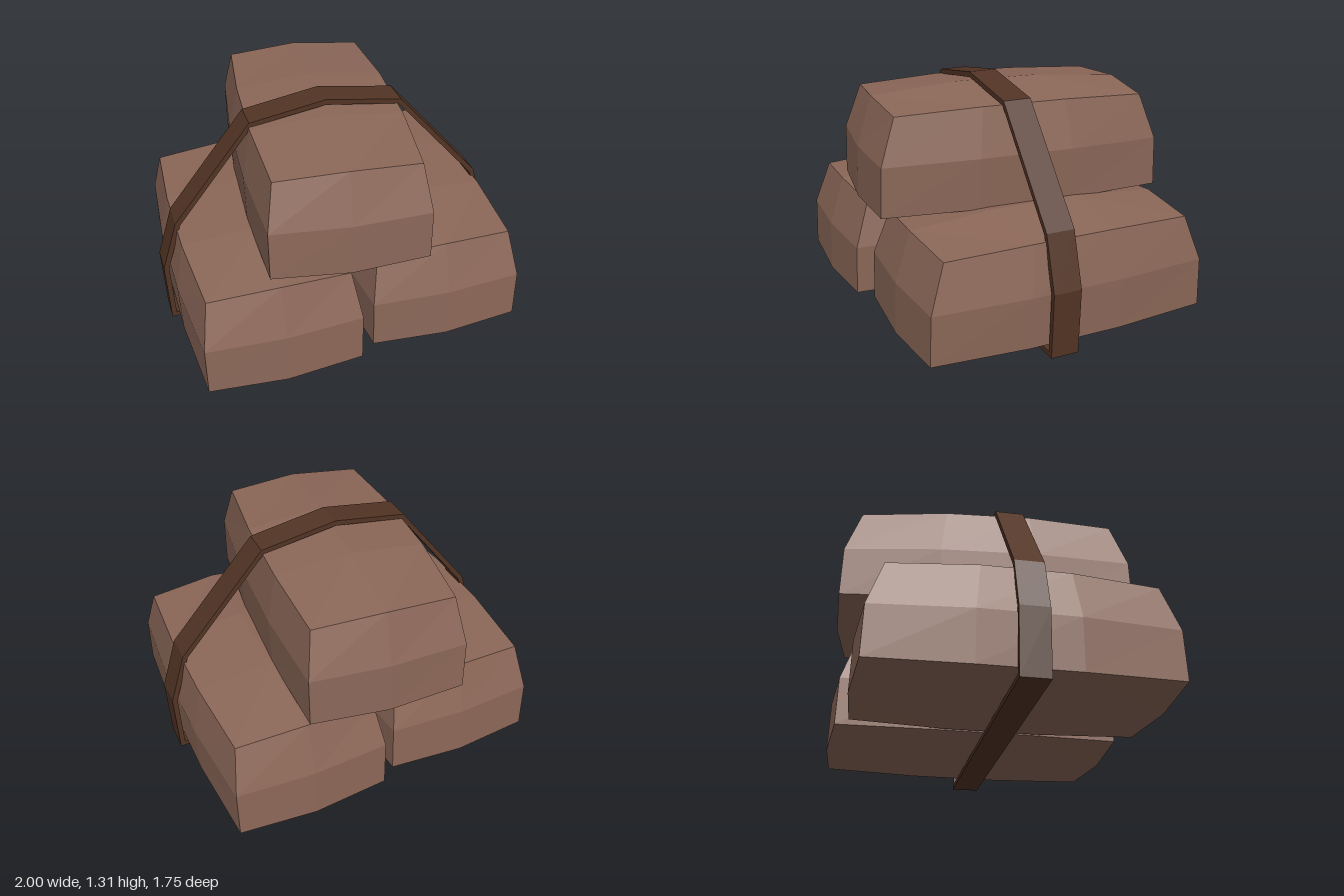
import * as THREE from 'three';

const sackMaterial = new THREE.MeshStandardMaterial({ color: 0x8b6758, flatShading: true });
const strapMaterial = new THREE.MeshStandardMaterial({ color: 0x523424, flatShading: true });

// Per level (bottom, middle, top): half length, half width at the ends and in the middle
const LEVELS = [
  { length: 0.81, end: 0.433, mid: 0.468 },
  { length: 0.80, end: 0.435, mid: 0.478 },
  { length: 0.712, end: 0.392, mid: 0.425 },
];
// Heights: end corner, end centre, middle corner, middle centre
const HEIGHTS = [
  [0.072, 0.058, 0.065, 0.02],
  [0.35, 0.35, 0.355, 0.355],
  [0.605, 0.63, 0.625, 0.67],
];

// A box bulged on every side and drawn in towards the top
function sackGeometry() {
  const geometry = new THREE.BoxGeometry(2, 2, 2, 2, 2, 3);
  const p = geometry.attributes.position;
  for (let i = 0; i < p.count; i++) {
    const u = p.getX(i), w = p.getZ(i);
    const row = Math.round(p.getY(i)) + 1;
    const level = LEVELS[row], h = HEIGHTS[row];
    const atEnd = Math.abs(w) > 0.9, atCentre = Math.abs(u) < 0.1;
    p.setXYZ(
      i,
      u * (atEnd ? level.end : level.mid),
      h[(atEnd ? 0 : 2) + (atCentre ? 1 : 0)],
      w * (level.length + (atCentre ? 0.027 : 0)),
    );
  }
  geometry.computeVertexNormals();
  return geometry;
}

// Closed band around the stack, cut out as a ring and extruded
function strapGeometry() {
  const outer = [[-0.985, 0], [0.985, 0], [1, 0.37], [0.908, 0.67], [0.41, 1.24],
    [-0.03, 1.31], [-0.46, 1.24], [-0.908, 0.67], [-1, 0.37]];
  const inner = [[-0.957, 0.028], [0.957, 0.028], [0.97, 0.365], [0.882, 0.655], [0.395, 1.215],
    [-0.03, 1.278], [-0.445, 1.215], [-0.882, 0.655], [-0.97, 0.365]];
  const points = (list) => list.map(([x, y]) => new THREE.Vector2(x, y));
  const shape = new THREE.Shape(points(outer));
  shape.holes.push(new THREE.Path(points(inner).reverse()));
  const geometry = new THREE.ExtrudeGeometry(shape, { depth: 0.16, bevelEnabled: false });
  geometry.translate(0, 0, -0.03);
  return geometry;
}

export function createModel() {
  const model = new THREE.Group();
  model.name = 'strappedSacks';

  // Two sacks below, one turned slightly on top
  const geometry = sackGeometry();
  const sacks = [
    ['rightSack', -0.477, 0, 0.037, 0],
    ['leftSack', 0.48, 0, -0.036, 0],
    ['topSack', -0.022, 0.59, -0.036, -0.087],
  ];
  for (const [name, x, y, z, turn] of sacks) {
    const sack = new THREE.Mesh(geometry, sackMaterial);
    sack.name = name;
    sack.position.set(x, y, z);
    sack.rotation.y = turn;
    model.add(sack);
  }

  // Strap
  const strap = new THREE.Mesh(strapGeometry(), strapMaterial);
  strap.name = 'strap';
  model.add(strap);
  return model;
}
